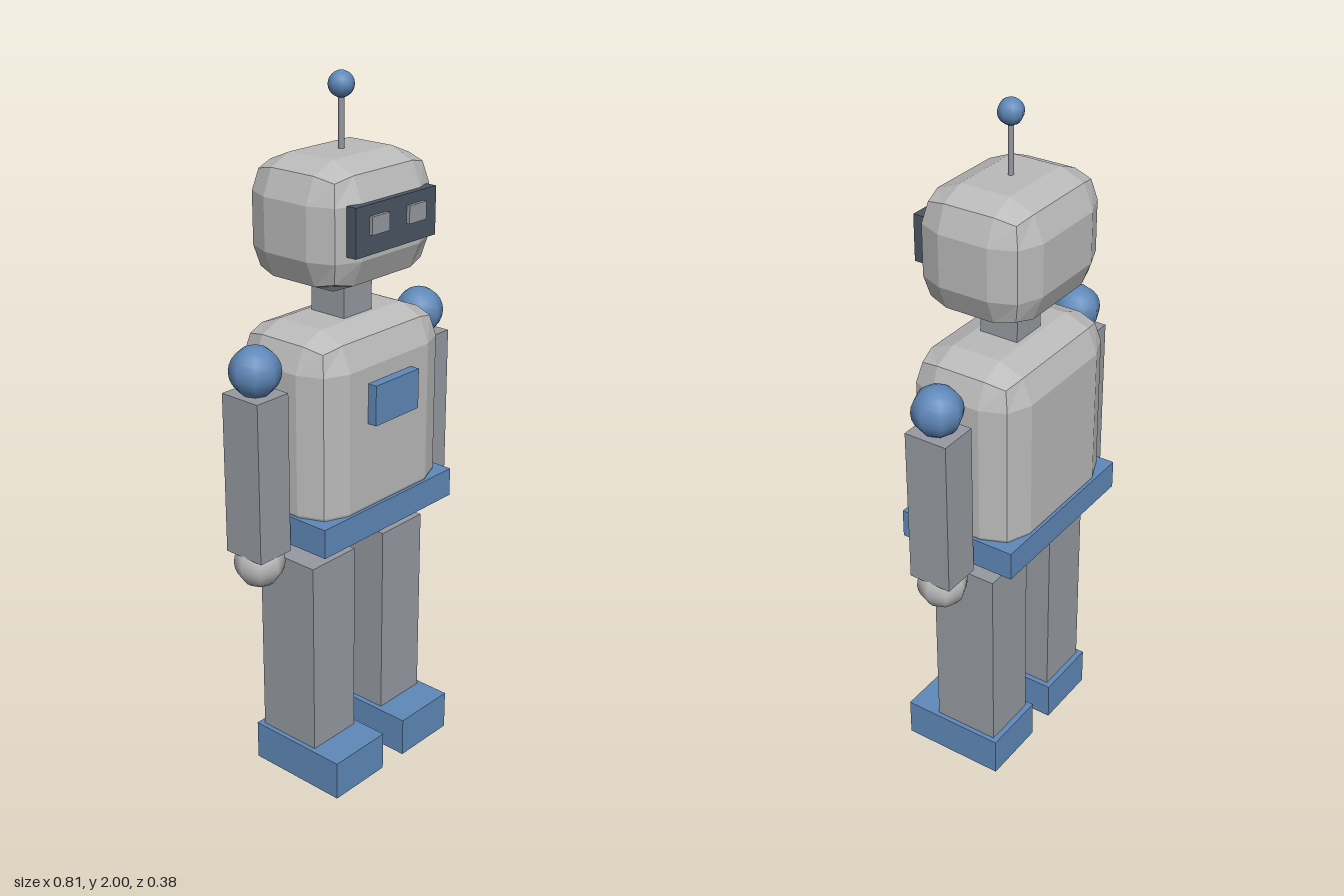
import * as THREE from 'three';
import { RoundedBoxGeometry } from 'three/addons/geometries/RoundedBoxGeometry.js';

export function createModel() {
  const robot = new THREE.Group();
  robot.name = 'robot';
  const material = (name, color) => {
    const m = new THREE.MeshStandardMaterial({ color });
    m.name = name;
    return m;
  };
  const shell = material('light grey shell', 0xbababa);
  const limb = material('steel grey', 0x969aa1);
  const blue = material('blue', 0x5f88b9);
  const dark = material('dark visor', 0x4b5663);
  const CZ = -0.012; // depth of the body axis

  const add = (name, geometry, mat, x, y, z) => {
    const mesh = new THREE.Mesh(geometry, mat);
    mesh.name = name;
    mesh.position.set(x, y, z);
    robot.add(mesh);
    return mesh;
  };
  // box from its minimum and maximum corners
  const box = (name, mat, [x0, y0, z0], [x1, y1, z1]) =>
    add(name, new THREE.BoxGeometry(x1 - x0, y1 - y0, z1 - z0), mat,
      (x0 + x1) / 2, (y0 + y1) / 2, (z0 + z1) / 2);
  // faceted box with two-step bevels
  const bevelBox = (name, w, y0, y1, d) => {
    const g = new RoundedBoxGeometry(w, y1 - y0, d, 1, 0.1);
    g.computeVertexNormals();
    return add(name, g, shell, 0, (y0 + y1) / 2, CZ);
  };
  const ball = (name, mat, r, x, y) =>
    add(name, new THREE.SphereGeometry(r, 8, 12), mat, x, y, CZ);

  // Head, neck and antenna
  bevelBox('head', 0.43, 1.455, 1.8, 0.347);
  box('neck', limb, [-0.056, 1.34, -0.07], [0.056, 1.475, 0.047]);
  add('antennaRod', new THREE.CylinderGeometry(0.008, 0.008, 0.17, 8), limb, 0, 1.865, CZ);
  ball('antennaBall', blue, 0.035, 0, 1.965);
  box('visor', dark, [-0.158, 1.573, 0.147], [0.158, 1.704, 0.178]);

  // Torso
  bevelBox('torso', 0.52, 0.762, 1.363, 0.347);
  box('chestPanel', blue, [-0.088, 1.103, 0.15], [0.088, 1.217, 0.189]);
  box('belt', blue, [-0.267, 0.771, -0.192], [0.267, 0.855, 0.168]);

  // Paired parts
  for (const [side, s] of [['left', 1], ['right', -1]]) {
    const pair = (name, mat, [x0, y0, z0], [x1, y1, z1]) =>
      box(side + name, mat, [Math.min(s * x0, s * x1), y0, z0], [Math.max(s * x0, s * x1), y1, z1]);
    pair('Eye', limb, [0.039, 1.626, 0.17], [0.107, 1.674, 0.188]);
    pair('Arm', limb, [0.277, 0.76, -0.077], [0.391, 1.217, 0.051]);
    pair('Leg', limb, [0.061, 0.11, -0.108], [0.232, 0.697, 0.091]);
    pair('Foot', blue, [0.045, 0, -0.125], [0.246, 0.117, 0.19]);
    ball(side + 'Shoulder', blue, 0.07, s * 0.333, 1.277);
    ball(side + 'Hand', shell, 0.07, s * 0.333, 0.727);
  }
  return robot;
}
